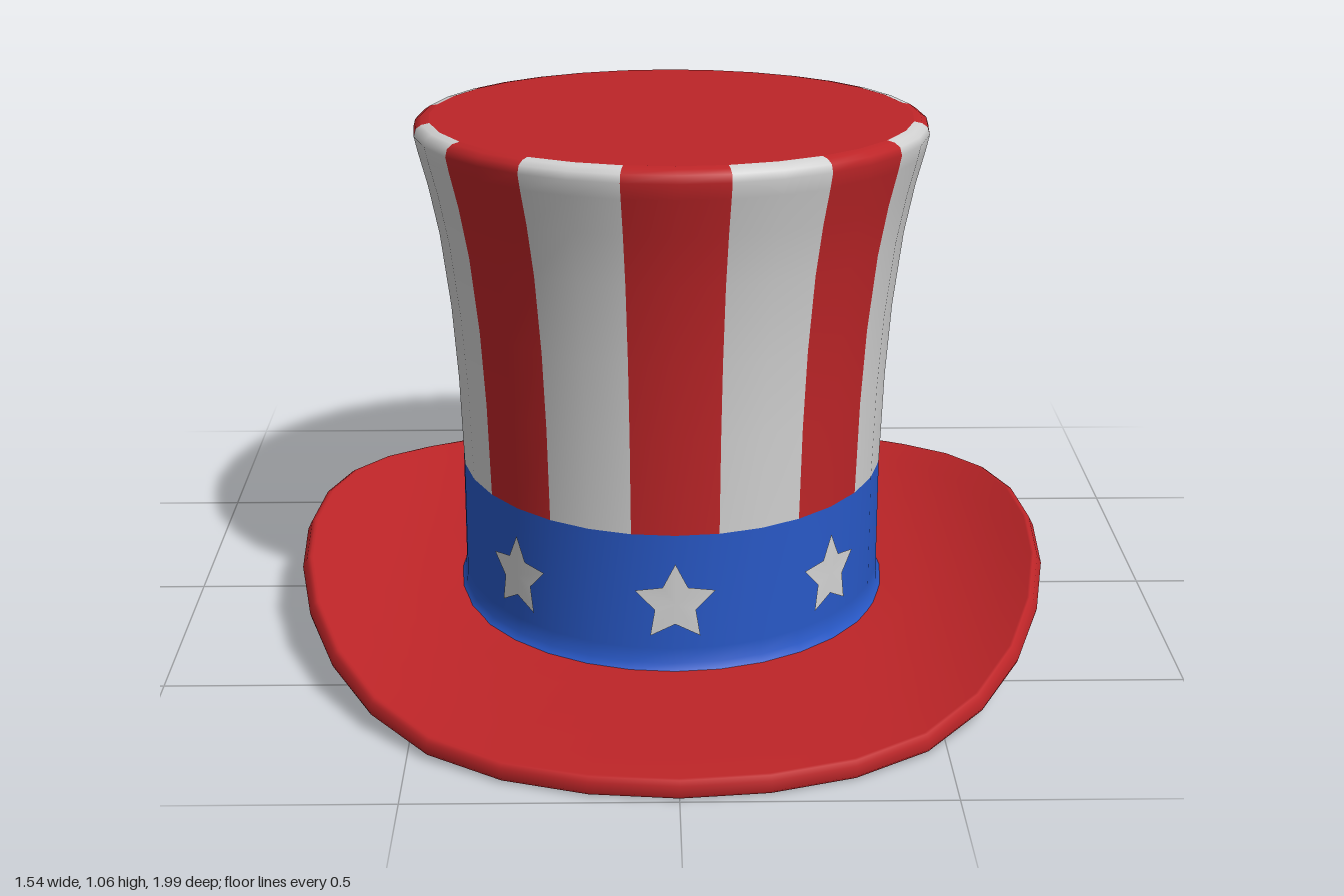
import * as THREE from 'three';

const SIDES = 32;
const mat = (name, color) => Object.assign(new THREE.MeshStandardMaterial({ color }), { name });

// Skins a stack of closed rings; paint(col) picks a material slot for each column.
function loft(rings, place, paint = () => 0) {
  const pos = [], slots = [];
  rings.forEach((ring) => {
    for (let j = 0; j < SIDES; j++) pos.push(...place(ring, (j / SIDES) * Math.PI * 2));
  });
  for (let j = 0; j < SIDES; j++) {
    const list = (slots[paint(j)] ??= []);
    const k = (j + 1) % SIDES;
    for (let i = 0; i < rings.length - 1; i++) {
      const a = i * SIDES, b = a + SIDES;
      list.push(a + j, a + k, b + k, a + j, b + k, b + j);
    }
  }
  const geo = new THREE.BufferGeometry();
  geo.setAttribute('position', new THREE.Float32BufferAttribute(pos, 3));
  geo.setIndex(slots.flat());
  let start = 0;
  slots.forEach((list, s) => { geo.addGroup(start, list.length, s); start += list.length; });
  geo.computeVertexNormals();
  return geo;
}

// Oval crown ring [rx, rz, y]: leans back and tilts down at the rear as it rises.
function crownPoint([rx, rz, y], a) {
  const t = Math.max(0, (y - 0.31) / 0.71);
  const z = rz * Math.cos(a);
  return [rx * Math.sin(a), y + 0.05 * t * z, z - 0.02 * t];
}

// Oval brim ring [rx, rz, height above the underside]: the sides curl upward.
function brimPoint([rx, rz, h], a) {
  const x = rx * Math.sin(a), over = Math.max(0, Math.abs(x) - 0.35);
  const slope = 1.02 * over, len = Math.hypot(1, slope);
  const bentX = Math.abs(x) - 0.286 * over * over - (h * slope) / len;
  return [Math.sign(x) * bentX, 0.51 * over * over + h / len, rz * Math.cos(a)];
}

// Five-pointed star wrapped onto the band at angle a.
function starGeometry(a) {
  const rx = 0.441, rz = 0.519, cy = 0.175;
  const arc = Math.hypot(rx * Math.cos(a), rz * Math.sin(a));
  const pos = [], index = [];
  const add = (u, v) => pos.push(rx * Math.sin(a + u / arc), cy + v, rz * Math.cos(a + u / arc));
  add(0, 0);
  for (let i = 0; i < 10; i++) {
    const r = i % 2 ? 0.042 : 0.083, p = Math.PI / 2 + (i * Math.PI) / 5;
    add(r * Math.cos(p), r * Math.sin(p));
    index.push(0, i + 1, ((i + 1) % 10) + 1);
  }
  const geo = new THREE.BufferGeometry();
  geo.setAttribute('position', new THREE.Float32BufferAttribute(pos, 3));
  geo.setIndex(index);
  geo.computeVertexNormals();
  return geo;
}

export function createModel() {
  const red = mat('red felt', 0xbe2528);
  const white = mat('white felt', 0xd2d2d2);
  const blue = mat('blue band', 0x2858c6);
  const hat = new THREE.Group();
  hat.name = 'top hat';
  const add = (name, geo, material, parent = hat) => {
    const mesh = new THREE.Mesh(geo, material);
    mesh.name = name;
    parent.add(mesh);
  };

  // Brim: rounded opening, underside, rim, then back across the top
  const brim = [[0.405, 0.485, 0.06], [0.415, 0.495, 0.02], [0.44, 0.525, 0]];
  const across = [0.2, 0.4, 0.6, 0.8, 0.97];
  const sheet = (t, h) => [0.44 + 0.405 * t, 0.525 + 0.47 * t, h];
  across.forEach((t) => brim.push(sheet(t, 0)));
  brim.push(sheet(0.985, 0.001), sheet(1, 0.008), sheet(1, 0.028), sheet(0.985, 0.036));
  across.reverse().forEach((t) => brim.push(sheet(t, 0.037)));
  brim.push([0.42, 0.5, 0.037]);
  add('brim', loft(brim, brimPoint), red);

  // Band with a small flare where it meets the brim
  add('band', loft([
    [0.45, 0.53, 0.038], [0.438, 0.518, 0.05], [0.436, 0.516, 0.08], [0.437, 0.515, 0.315],
  ], crownPoint), blue);

  // Flared crown with sixteen alternating stripes running over the rounded top edge
  const wall = [
    [0.437, 0.515, 0.315], [0.445, 0.527, 0.5], [0.457, 0.541, 0.65], [0.477, 0.565, 0.8],
    [0.498, 0.591, 0.9], [0.517, 0.613, 0.97], [0.524, 0.621, 1.0],
    [0.52, 0.617, 1.015], [0.508, 0.604, 1.023], [0.492, 0.586, 1.026],
  ];
  add('striped crown', loft(wall, crownPoint, (j) => Math.floor((j + 1) / 2) % 2), [red, white]);
  add('crown top', loft([[0.492, 0.586, 1.026], [0.25, 0.3, 1.026], [0, 0, 1.026]], crownPoint), red);

  // Hollow interior, listed from the top down so that it faces inward
  add('lining', loft([
    [0, 0, 0.99], [0.44, 0.53, 0.99], [0.48, 0.575, 0.97], [0.475, 0.568, 0.9],
    [0.435, 0.52, 0.65], [0.41, 0.49, 0.315], [0.405, 0.485, 0.06],
  ], crownPoint), red);

  // Eight stars spaced around the band
  const stars = new THREE.Group();
  stars.name = 'stars';
  hat.add(stars);
  for (let i = 0; i < 8; i++) add('star', starGeometry((i * Math.PI) / 4), white, stars);

  return hat;
}
